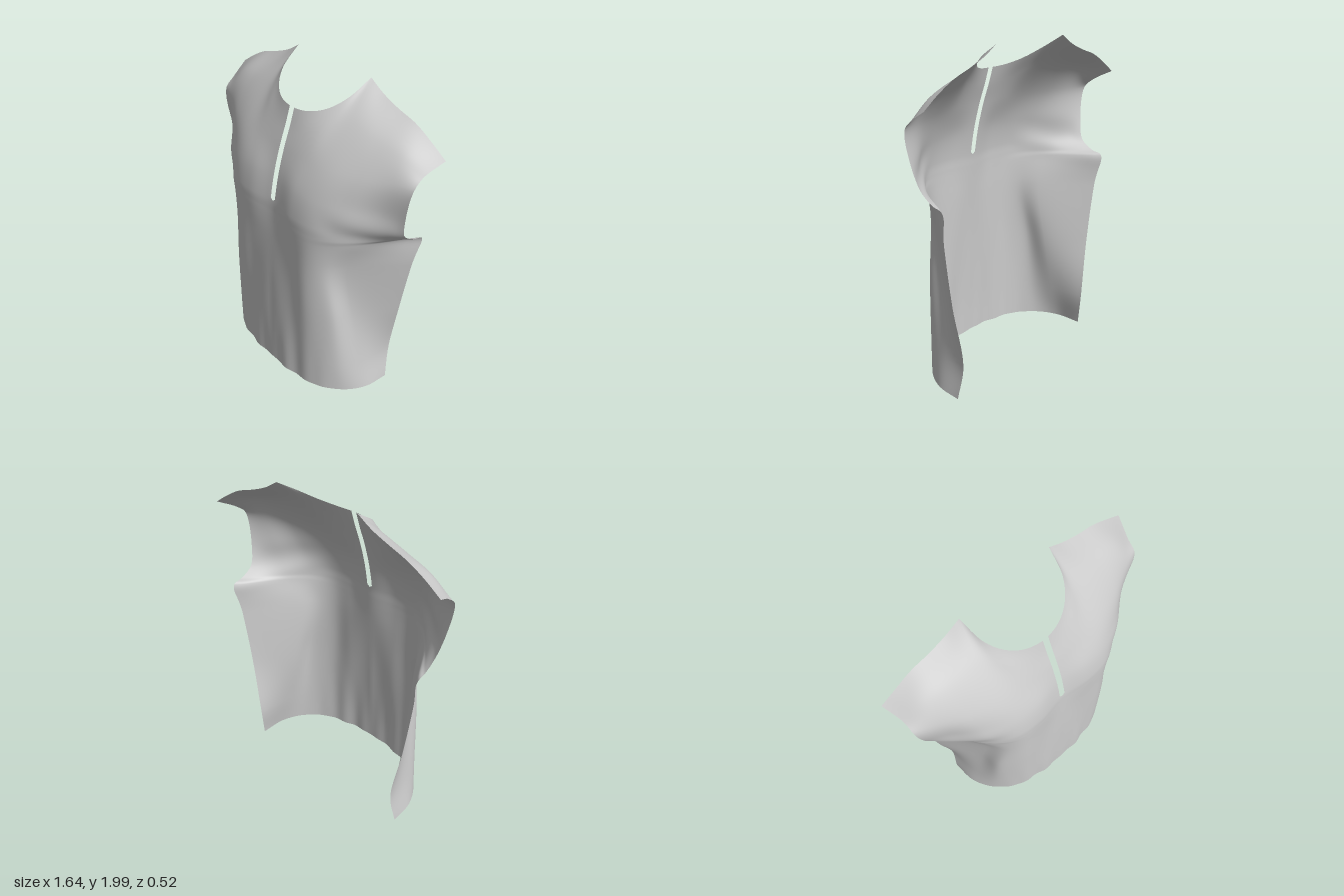
import * as THREE from 'three';
import { mergeVertices } from 'three/addons/utils/BufferGeometryUtils.js';

const V = (x, y, z) => new THREE.Vector3(x, y, z);
const N = 40;        // columns per half
const STEP = 10;     // mesh rows per cross-section
const SLIT_ROW = 6;  // cross-section where the neck slit starts
const SLIT = 0.018;  // half width of the slit

// Spline from the centre outwards, mirrored so it runs smoothly over x = 0
function halfCurve(points) {
  const mirrored = points.slice(1).reverse().map(p => V(-p.x, p.y, p.z));
  const curve = new THREE.CatmullRomCurve3([...mirrored, ...points]);
  return u => curve.getPoint(0.5 + u / 2);
}

// Body cross-section: height at centre and at edge, then x, z pairs
function bodyRow(yCentre, yEdge, xz) {
  const points = [];
  for (let i = 0; i < 6; i++) {
    points.push(V(xz[2 * i], THREE.MathUtils.lerp(yCentre, yEdge, i / 5), xz[2 * i + 1]));
  }
  return halfCurve(points);
}

// Top border: round neckline, then the shoulder seam
function topRow() {
  const neck = halfCurve([V(0, 1.82, 0.055), V(0.11, 1.828, 0.035), V(0.2, 1.86, -0.02),
    V(0.265, 1.92, -0.11), V(0.29, 2, -0.24)]);
  const shoulder = new THREE.CatmullRomCurve3([V(0.29, 2, -0.24), V(0.38, 1.945, -0.24),
    V(0.49, 1.9, -0.24), V(0.61, 1.86, -0.245), V(0.72, 1.8, -0.245), V(0.82, 1.733, -0.248)]);
  return u => (u <= 0.4 ? neck(u / 0.4) : shoulder.getPoint((u - 0.4) / 0.6));
}

// Soft drapery: hem ripples, long hanging folds and the underarm pleat
function drape(p) {
  const { x, y } = p;
  const { smoothstep } = THREE.MathUtils;
  const low = 1 - smoothstep(y, 0, 0.6);
  const body = 1 - smoothstep(y, 0.7, 1.2);
  const front = 1 - smoothstep(x, 0.35, 0.5);
  p.z += 0.004 * Math.cos(x * 42) * low * front;
  p.z += 0.004 * Math.cos((x - 0.12 * (1 - y)) * 22) * body * front;
  const pleat = smoothstep(x, 0.34, 0.6) * (1 - smoothstep(x, 0.68, 0.76));
  const height = y - 0.28 * (0.72 - x);
  p.z -= 0.018 * pleat * Math.exp(-(((height - 1.19) / 0.06) ** 2));
  p.z += 0.01 * pleat * Math.exp(-(((height - 1.3) / 0.07) ** 2));
  return p;
}

function panelGeometry() {
  // From hem to shoulder; the outer columns hold the fold running from bust to hem corner
  const rows = [
    bodyRow(0.045, 0.012, [0, 0.248, 0.18, 0.24, 0.36, 0.2, 0.51, 0.09, 0.588, -0.05, 0.602, -0.215]),
    bodyRow(0.25, 0.23, [0, 0.246, 0.18, 0.24, 0.34, 0.21, 0.485, 0.115, 0.545, -0.03, 0.582, -0.245]),
    bodyRow(0.65, 0.62, [0, 0.235, 0.17, 0.235, 0.32, 0.22, 0.455, 0.14, 0.49, 0.01, 0.642, -0.23]),
    bodyRow(1.0, 1.0, [0, 0.222, 0.18, 0.23, 0.31, 0.222, 0.4, 0.175, 0.482, 0.06, 0.698, -0.235]),
    bodyRow(1.12, 1.2, [0, 0.216, 0.18, 0.231, 0.315, 0.222, 0.425, 0.165, 0.555, 0.03, 0.728, -0.25]),
    bodyRow(1.2, 1.222, [0, 0.211, 0.18, 0.231, 0.322, 0.22, 0.443, 0.16, 0.58, 0.025, 0.727, -0.185]),
    bodyRow(1.275, 1.28, [0, 0.205, 0.18, 0.228, 0.33, 0.214, 0.46, 0.152, 0.6, 0.025, 0.728, -0.11]),
    bodyRow(1.44, 1.41, [0, 0.175, 0.18, 0.197, 0.34, 0.18, 0.49, 0.115, 0.63, 0.01, 0.752, -0.068]),
    bodyRow(1.6, 1.61, [0, 0.13, 0.2, 0.125, 0.36, 0.1, 0.52, 0.045, 0.67, -0.022, 0.785, -0.067]),
    halfCurve([V(0, 1.725, 0.085), V(0.2, 1.75, 0.05), V(0.335, 1.82, -0.055),
      V(0.495, 1.785, -0.075), V(0.665, 1.745, -0.105), V(0.787, 1.67, -0.13)]),
    topRow(),
  ];
  const last = (rows.length - 1) * STEP;
  const pos = [], index = [];
  // Grid of one half
  const grid = [];
  for (let i = 0; i <= N; i++) {
    const column = new THREE.CatmullRomCurve3(rows.map(row => row(i / N)));
    for (let j = 0; j <= last; j++) {
      const p = drape(column.getPoint(j / last));
      if (i === 0) p.x = j > SLIT_ROW * STEP ? SLIT : 0;
      grid.push(p);
    }
  }
  // Both halves, joined below the slit
  for (const side of [1, -1]) {
    const base = pos.length / 3;
    for (const p of grid) pos.push(side * p.x, p.y, p.z);
    for (let i = 0; i < N; i++) {
      for (let j = 0; j < last; j++) {
        const a = base + i * (last + 1) + j, b = a + last + 1;
        if (side > 0) index.push(a, b, b + 1, a, b + 1, a + 1);
        else index.push(a, b + 1, b, a, a + 1, b + 1);
      }
    }
  }
  const geometry = new THREE.BufferGeometry();
  geometry.setAttribute('position', new THREE.Float32BufferAttribute(pos, 3));
  geometry.setIndex(index);
  const merged = mergeVertices(geometry, 1e-5);
  merged.computeVertexNormals();
  return merged;
}

export function createModel() {
  const group = new THREE.Group();
  group.name = 'shirtFront';
  const cloth = new THREE.MeshStandardMaterial({ color: 0xcccccc, side: THREE.DoubleSide });
  const panel = new THREE.Mesh(panelGeometry(), cloth);
  panel.name = 'frontPanel';
  group.add(panel);
  return group;
}
